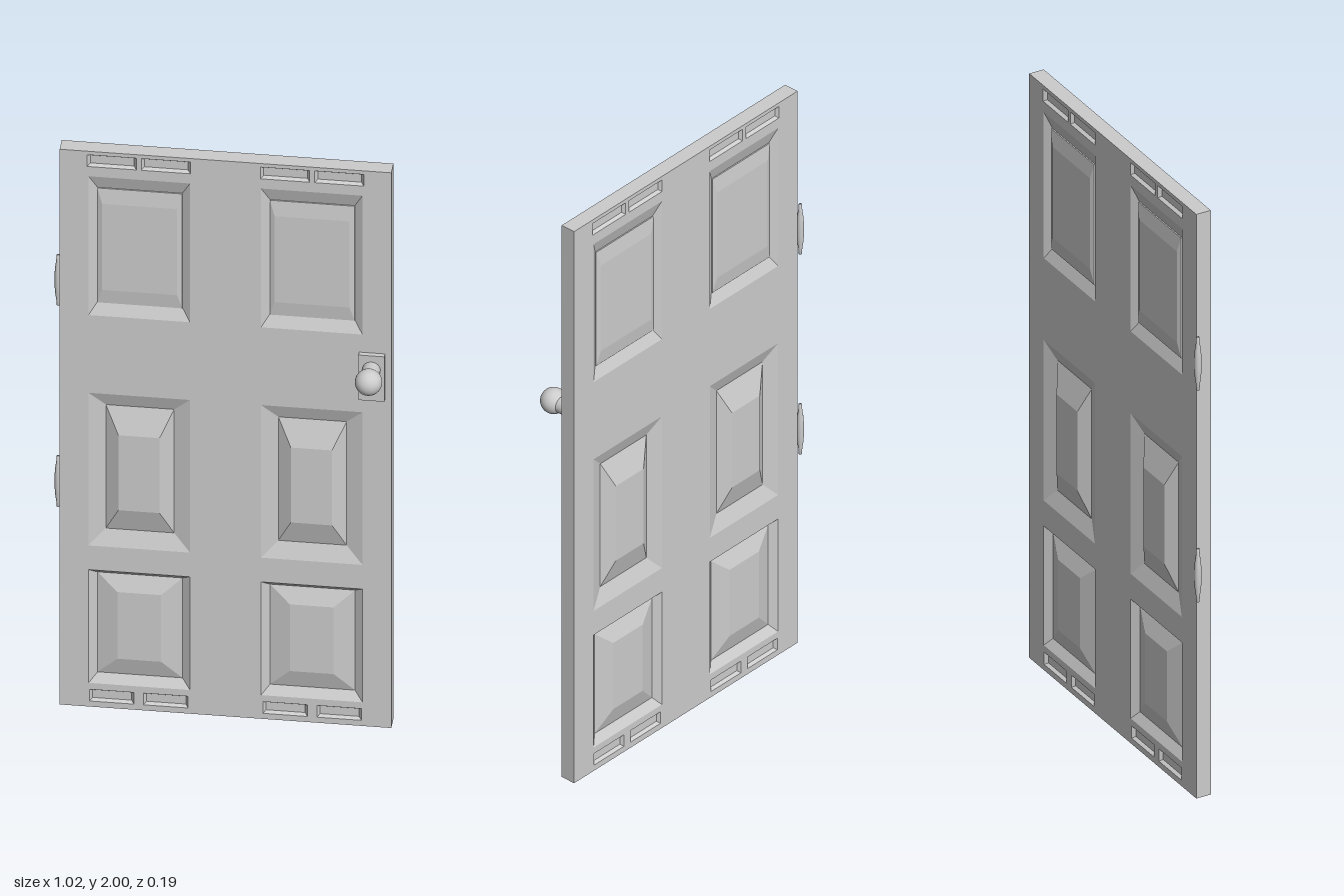
import * as THREE from 'three';

const grey = new THREE.MeshStandardMaterial({ color: 0xcccccc });
const W = 1, H = 2, T = 0.05;           // door slab
const CX = 0.01, CZ = -0.058;           // slab centre

function add(parent, name, geometry, x = 0, y = 0, z = 0) {
  const m = new THREE.Mesh(geometry, grey);
  m.name = name;
  m.position.set(x, y, z);
  parent.add(m);
  return m;
}

// Joins nested rectangles [x0, x1, y0, y1, z] into flat facets, optionally closing the last one
function rectLoft(rings, cap = true) {
  const pos = [];
  const corners = ([x0, x1, y0, y1, z]) => [[x0, y0, z], [x1, y0, z], [x1, y1, z], [x0, y1, z]];
  const quad = (a, b, c, d) => pos.push(...a, ...b, ...c, ...a, ...c, ...d);
  for (let i = 0; i + 1 < rings.length; i++) {
    const o = corners(rings[i]), n = corners(rings[i + 1]);
    for (let k = 0; k < 4; k++) quad(o[k], o[(k + 1) % 4], n[(k + 1) % 4], n[k]);
  }
  if (cap) quad(...corners(rings[rings.length - 1]));
  const g = new THREE.BufferGeometry();
  g.setAttribute('position', new THREE.Float32BufferAttribute(pos, 3));
  g.computeVertexNormals();
  return g;
}

// Ring given by half width, bottom, top and height relative to the door face
const ring = (cx, hw, y0, y1, z) => [cx - hw, cx + hw, y0, y1, z];

// Every recess on one face: name, centre x offset, profile of [half width, bottom, top, z]
const recesses = [
  ['upperPanel', 0.26, [[0.153, 1.41, 1.91, 0], [0.128, 1.45, 1.862, -0.016], [0.128, 1.45, 1.862, -0.012], [0.113, 1.5, 1.81, -0.006]]],
  ['middlePanel', 0.26, [[0.153, 0.58, 1.13, 0], [0.103, 0.635, 1.08, -0.018], [0.062, 0.72, 0.99, 0.008]]],
  ['lowerPanel', 0.26, [[0.153, 0.085, 0.493, 0], [0.128, 0.115, 0.475, -0.018], [0.066, 0.18, 0.42, 0.001]]],
];
for (const x of [0.18, 0.343]) {
  recesses.push(['upperSlot', x, [[0.074, 1.945, 1.987, 0], [0.066, 1.952, 1.98, -0.01]]]);
  recesses.push(['lowerSlot', x, [[0.067, 0.02, 0.062, 0], [0.059, 0.027, 0.055, -0.01]]]);
}

// One decorated door face, looking along +z
function doorFace(name) {
  const face = new THREE.Group();
  face.name = name;
  const rectPath = (P, x0, x1, y0, y1) =>
    new P([[x0, y0], [x1, y0], [x1, y1], [x0, y1]].map(p => new THREE.Vector2(...p)));
  const sheet = rectPath(THREE.Shape, -W / 2, W / 2, 0, H);
  for (const [part, dx, profile] of recesses) {
    for (const s of [-1, 1]) {
      const rings = profile.map(([hw, y0, y1, z]) => ring(s * dx, hw, y0, y1, z));
      sheet.holes.push(rectPath(THREE.Path, ...rings[0].slice(0, 4)));
      add(face, part, rectLoft(rings));
    }
  }
  add(face, 'faceFrame', new THREE.ShapeGeometry(sheet));
  return face;
}

export function createModel() {
  const model = new THREE.Group();
  model.name = 'panelDoor';

  // Slab: two faces back to back and the four narrow edges
  const slab = new THREE.Group();
  slab.name = 'doorSlab';
  slab.position.set(CX, 0, CZ);
  const front = doorFace('frontFace');
  front.position.z = T / 2;
  const back = doorFace('backFace');
  back.position.z = -T / 2;
  back.rotation.y = Math.PI;
  slab.add(front, back);
  add(slab, 'doorEdges', rectLoft([ring(0, W / 2, 0, H, -T / 2), ring(0, W / 2, 0, H, T / 2)], false));
  model.add(slab);

  // Knob: back plate, stem and ball
  const knob = new THREE.Group();
  knob.name = 'doorKnob';
  knob.position.set(0.452, 1.297, 0);
  add(knob, 'knobPlate', new THREE.BoxGeometry(0.078, 0.162, 0.017), 0, -0.032, -0.0255);
  add(knob, 'knobStem', new THREE.CylinderGeometry(0.027, 0.027, 0.05, 32), 0, 0, 0.003).rotation.x = Math.PI / 2;
  add(knob, 'knobBall', new THREE.SphereGeometry(0.041, 32, 20), 0, 0, 0.051);
  model.add(knob);

  // Hinges: barrels swelling toward the middle
  const barrel = [[0, -0.09], [0.005, -0.09], [0.006, -0.07], [0.0095, -0.045], [0.011, -0.02],
    [0.011, 0.02], [0.0095, 0.045], [0.006, 0.07], [0.005, 0.09], [0, 0.09]];
  for (const [name, y] of [['upperHinge', 1.495], ['lowerHinge', 0.77]]) {
    add(model, name, new THREE.LatheGeometry(barrel.map(p => new THREE.Vector2(...p)), 20), -0.501, y, -0.084);
  }
  return model;
}
